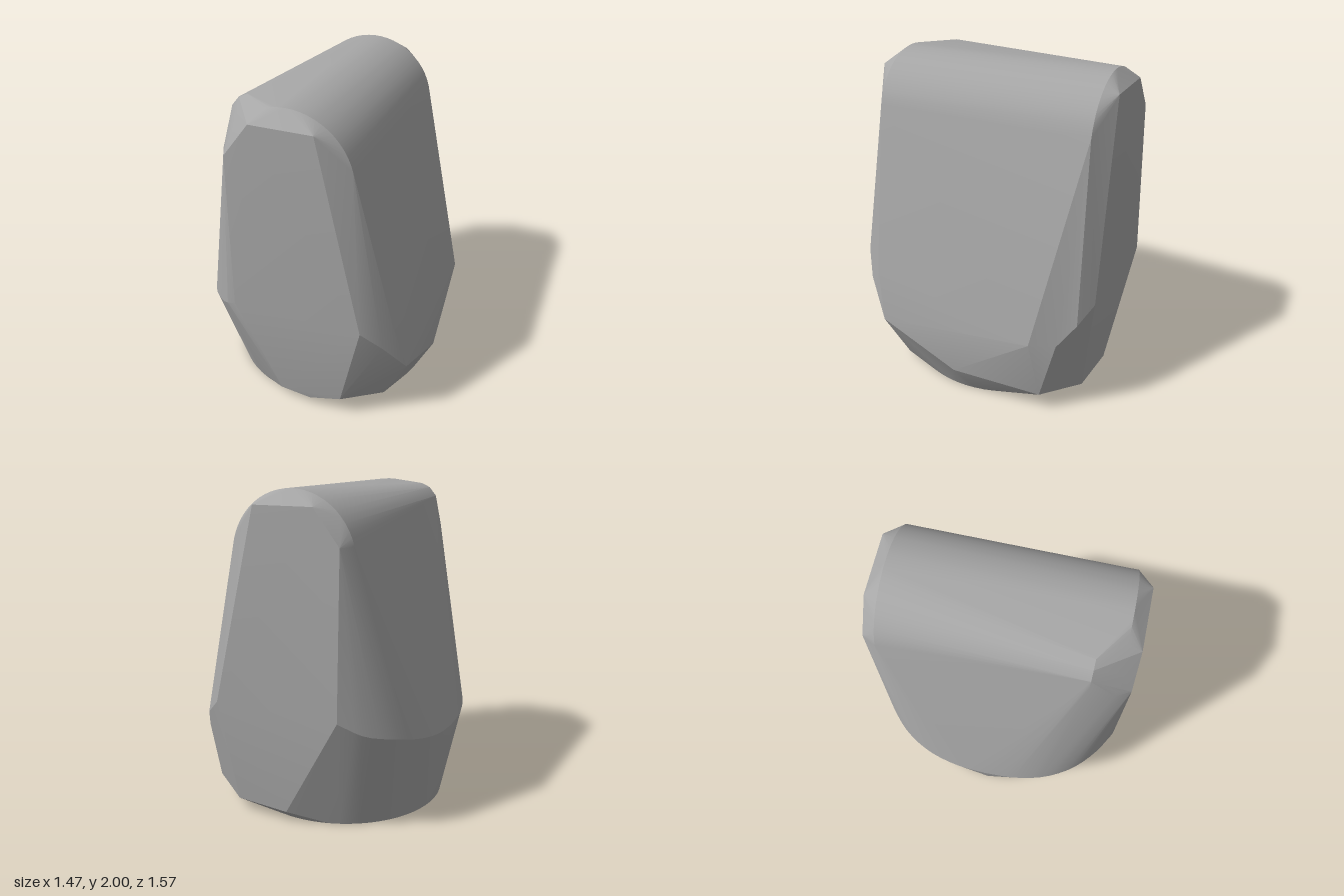
import * as THREE from 'three';
import { ConvexGeometry } from 'three/addons/geometries/ConvexGeometry.js';
import { toCreasedNormals } from 'three/addons/utils/BufferGeometryUtils.js';

export function createModel() {
  const group = new THREE.Group();
  const stone = new THREE.MeshStandardMaterial({ color: 0xa6a6a6 });
  stone.name = 'stoneGrey';
  const points = [];
  const add = (x, y, z) => points.push(new THREE.Vector3(x, y, z));

  // Round flat foot
  for (let i = 0; i < 64; i++) {
    const a = (i / 64) * Math.PI * 2;
    add(0.64 * Math.cos(a), 0, 0.64 * Math.sin(a));
  }

  // Rounded ridge running front to back
  for (let i = 0; i <= 24; i++) {
    const a = THREE.MathUtils.degToRad(15 + (i / 24) * 150);
    const x = 0.4 * Math.cos(a);
    const y = 1.6 + 0.4 * Math.sin(a);
    add(x, y, 0.68);
    add(x, y, -0.68);
  }

  // Squarer shoulder at the front of the right side
  for (const [x, y] of [[-0.415, 1.83], [-0.4, 1.9], [-0.355, 1.955], [-0.3, 1.98]]) add(x, y, 0.53);

  // Bulging lower right side, mirrored front to back
  const belly = new THREE.CatmullRomCurve3([
    new THREE.Vector3(-0.735, 0.52, 0), new THREE.Vector3(-0.725, 0.53, 0.2),
    new THREE.Vector3(-0.68, 0.56, 0.4), new THREE.Vector3(-0.59, 0.6, 0.57),
    new THREE.Vector3(-0.46, 0.64, 0.7), new THREE.Vector3(-0.33, 0.72, 0.785),
  ]);
  for (const p of belly.getPoints(16)) {
    add(p.x, p.y, p.z);
    add(p.x, p.y, -p.z);
  }
  add(-0.69, 0.18, 0);

  // Front and back facets around the ridge ends
  for (const s of [1, -1]) {
    add(0.2, 1.91, 0.765 * s);
    add(-0.18, 1.91, 0.765 * s);
    add(-0.34, 1.7, 0.765 * s);
    add(0.48, 0.73, 0.785 * s);
  }

  // Chipped corners of the lower left side, front, then back
  const chips = [
    [-0.06, 0.1, 0.735], [0.13, 0.07, 0.725], [0.34, 0.14, 0.735], [0.54, 0.05, 0.48],
    [0.7, 0.38, 0.55], [0.63, 0.7, 0.62], [0.59, 0.6, 0.7], [0.73, 0.17, 0.03],
    [0.72, 0.5, -0.47], [0.66, 0.12, -0.52], [0.66, 0.5, -0.62], [0.59, 0.63, -0.72],
    [0.4, 0.08, -0.7], [0.05, 0.07, -0.72],
  ];
  for (const c of chips) add(...c);

  const body = new THREE.Mesh(toCreasedNormals(new ConvexGeometry(points), 0.3), stone);
  body.name = 'stoneBody';
  group.add(body);
  return group;
}
